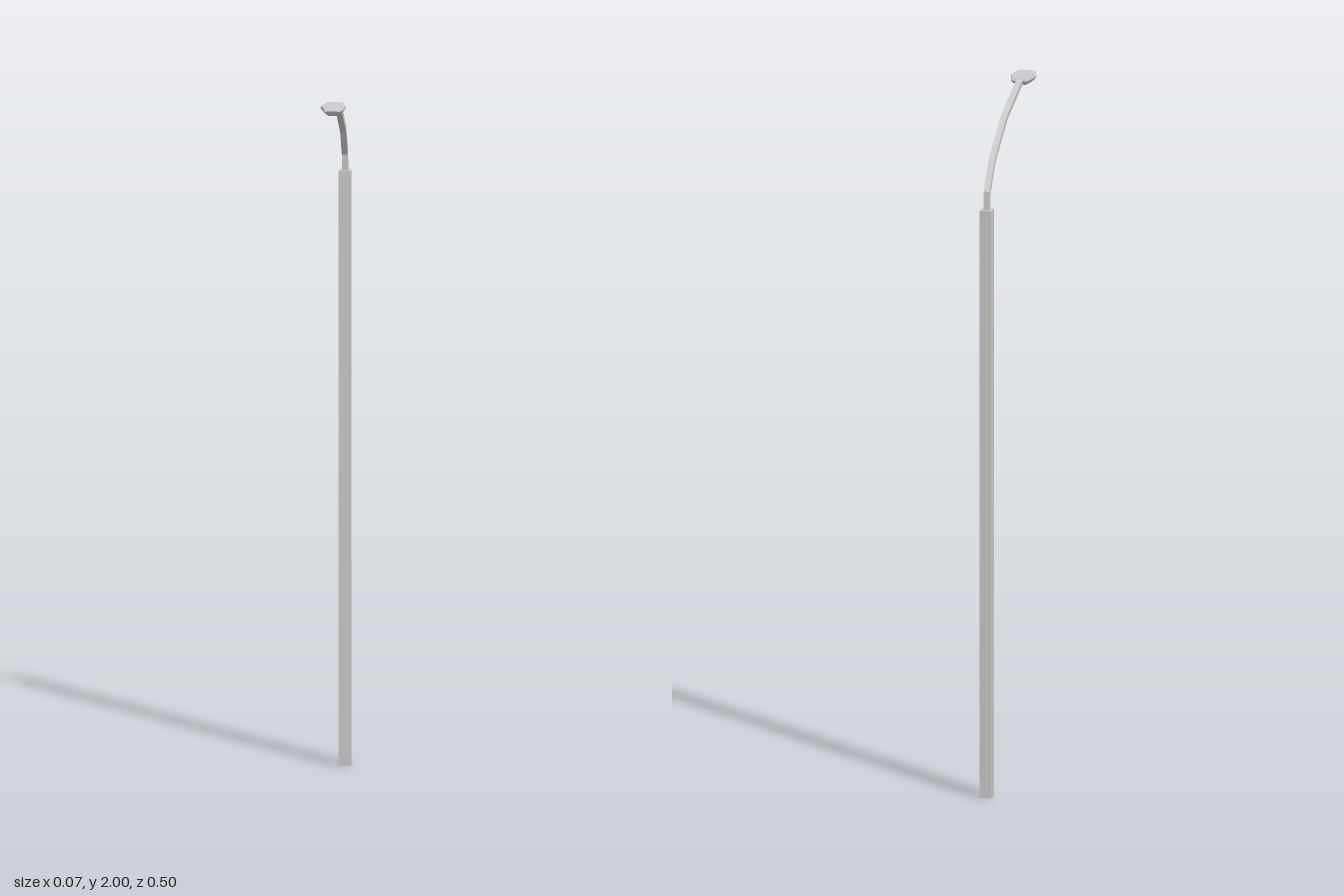
import * as THREE from 'three';

const material = new THREE.MeshStandardMaterial({ color: 0xcccccc, flatShading: true });

// Skin a row of equal-length rings (counter-clockwise about the row's direction), capped at both ends
function loft(rings) {
  const n = rings[0].length;
  const index = [];
  for (let i = 0; i < rings.length - 1; i++) {
    for (let j = 0; j < n; j++) {
      const k = (j + 1) % n;
      const a = i * n + j, b = i * n + k, c = a + n, d = b + n;
      index.push(a, b, d, a, d, c);
    }
  }
  const last = (rings.length - 1) * n;
  for (let j = 1; j < n - 1; j++) {
    index.push(0, j + 1, j, last, last + j, last + j + 1);
  }
  const geometry = new THREE.BufferGeometry();
  geometry.setAttribute('position', new THREE.Float32BufferAttribute(rings.flat(2), 3));
  geometry.setIndex(index);
  const flat = geometry.toNonIndexed();
  flat.computeVertexNormals();
  return flat;
}

function addPart(group, name, geometry) {
  const mesh = new THREE.Mesh(geometry, material);
  mesh.name = name;
  group.add(mesh);
  return mesh;
}

// Square bar swept along a bent path of [z, y] points
function armGeometry(path, half) {
  const points = path.map(([z, y]) => new THREE.Vector2(z, y));
  const rings = points.map((p, i) => {
    const before = points[Math.max(i - 1, 0)];
    const after = points[Math.min(i + 1, points.length - 1)];
    const t = after.clone().sub(before).normalize();
    return [[-1, -1], [1, -1], [1, 1], [-1, 1]].map(([sx, sn]) =>
      [sx * half, p.y + sn * half * t.x, p.x - sn * half * t.y]);
  });
  return loft(rings);
}

export function createModel() {
  const group = new THREE.Group();
  group.name = 'streetLamp';

  // Square upright
  const poleHeight = 1.72, poleWidth = 0.034, poleZ = -0.231;
  const pole = addPart(group, 'pole', new THREE.BoxGeometry(poleWidth, poleHeight, poleWidth));
  pole.position.set(0, poleHeight / 2, poleZ);

  // Curved arm rising out of the pole and reaching forward
  addPart(group, 'arm', armGeometry([
    [poleZ, 1.71], [-0.227, 1.77], [-0.165, 1.85], [-0.025, 1.935], [0.155, 1.991],
  ], 0.0085));

  // Lamp head: flat on top, tapering to a smaller lens below
  const outline = [
    [-0.023, 0.248], [0.023, 0.248], [0.031, 0.227], [0.036, 0.195],
    [0.024, 0.147], [-0.023, 0.147], [-0.036, 0.205],
  ];
  const centreZ = 0.198;
  const levels = [[1.977, 0.55], [1.985, 0.82], [1.994, 1], [2, 0.95]];
  addPart(group, 'lampHead', loft(levels.map(([y, s]) =>
    outline.map(([x, z]) => [x * s, y, centreZ + (z - centreZ) * s]))));

  return group;
}
